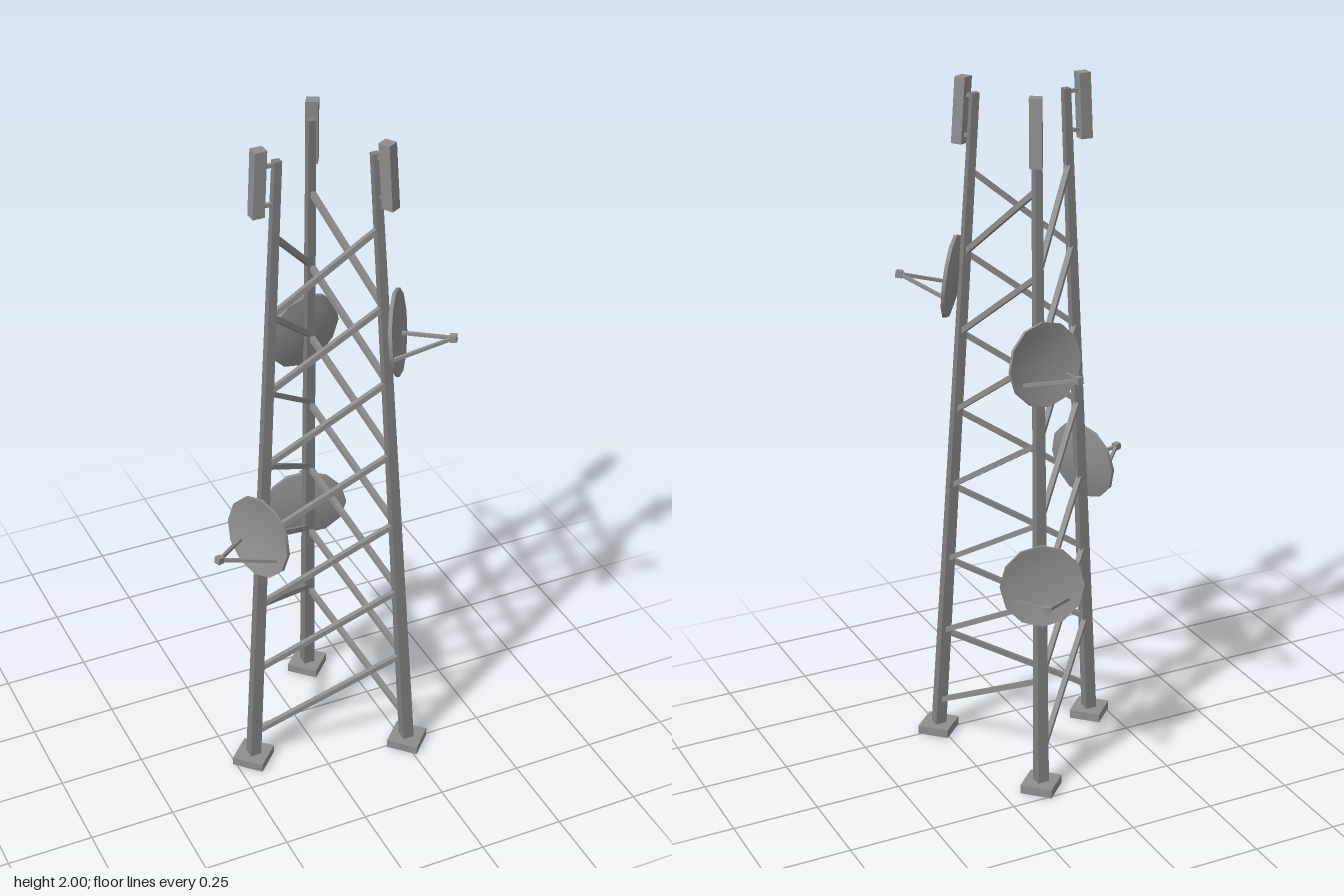
import * as THREE from 'three';
import { toCreasedNormals } from 'three/addons/utils/BufferGeometryUtils.js';

const V = (x, y, z) => new THREE.Vector3(x, y, z);

export function createModel() {
  const tower = new THREE.Group();
  tower.name = 'latticeTower';
  const steel = new THREE.MeshStandardMaterial({ color: 0x808080 });
  steel.name = 'steelGrey';
  const pale = new THREE.MeshStandardMaterial({ color: 0x8e8e8e });
  pale.name = 'paleGrey';

  const add = (parent, geometry, name, material = pale) => {
    const mesh = new THREE.Mesh(geometry, material);
    mesh.name = name;
    parent.add(mesh);
    return mesh;
  };

  // Leaning square post with level ends, from bottom p to top q
  const post = (parent, name, p, q, size0, size1, turn = 0, material = pale) => {
    const g = new THREE.BoxGeometry(1, 1, 1).rotateY(turn);
    const pos = g.attributes.position, v = V(0, 0, 0);
    for (let i = 0; i < pos.count; i++) {
      v.fromBufferAttribute(pos, i);
      const t = v.y + 0.5, s = THREE.MathUtils.lerp(size0, size1, t);
      const c = p.clone().lerp(q, t);
      pos.setXYZ(i, c.x + v.x * s, c.y, c.z + v.z * s);
    }
    g.computeVertexNormals();
    return add(parent, g, name, material);
  };

  // Straight square bar between any two points, its sides kept upright
  const bar = (parent, name, p, q, size) => {
    const mesh = add(parent, new THREE.BoxGeometry(size, size, p.distanceTo(q)), name);
    mesh.position.copy(p).lerp(q, 0.5);
    mesh.quaternion.setFromRotationMatrix(new THREE.Matrix4().lookAt(q, p, V(0, 1, 0)));
    return mesh;
  };

  // Legs in bracing order; out is the angle each antenna panel faces
  const TOP = 1.96;
  const legs = [
    { name: 'left', base: V(-0.193, 0, 0.134), top: V(-0.104, TOP, 0.125), out: Math.PI, reach: 0.052 },
    { name: 'frontRight', base: V(0.258, 0, 0.255), top: V(0.14, TOP, 0.19), out: Math.PI / 3, reach: 0.04 },
    { name: 'back', base: V(0.135, 0, -0.193), top: V(0.074, TOP, -0.054), out: -Math.PI / 3, reach: 0.04 },
  ];
  const legAt = (leg, y) => leg.base.clone().lerp(leg.top, y / TOP);

  for (const leg of legs) {
    const g = new THREE.Group();
    g.name = leg.name + 'Leg';
    tower.add(g);
    // Footing and leg
    const foot = leg.base.clone().setY(0.026);
    post(g, 'footing', leg.base, foot, 0.094, 0.094, Math.PI / 4);
    post(g, 'leg', leg.base, leg.top, 0.034, 0.021, 0, steel);
    // Antenna panel and its two brackets
    const step = V(Math.cos(leg.out), 0, Math.sin(leg.out)).multiplyScalar(leg.reach);
    const panelAt = (y) => legAt(leg, y).add(step);
    post(g, 'antennaPanel', panelAt(1.815), panelAt(2), 0.034, 0.034, -leg.out);
    for (const y of [1.84, 1.95]) bar(g, 'panelBracket', legAt(leg, y), panelAt(y), 0.01);
  }

  // Parallel diagonal bracing winding up around the three faces
  const LEVELS = 7, y0 = 0.1, dy = 0.235;
  legs.forEach((leg, i) => {
    const next = legs[(i + 1) % 3];
    for (let k = 0; k < LEVELS; k++) {
      bar(tower, 'brace', legAt(leg, y0 + k * dy), legAt(next, y0 + (k + 1) * dy), 0.015);
    }
  });

  // Shallow dish shell, opening towards +z
  const R = 0.119, profile = [];
  for (let i = 0; i <= 4; i++) profile.push(new THREE.Vector2(R * i / 4, -0.026 + 0.016 * (i / 4) ** 2));
  for (let i = 4; i >= 0; i--) profile.push(new THREE.Vector2(R * i / 4, -0.016 + 0.016 * (i / 4) ** 2));
  const dishGeometry = toCreasedNormals(new THREE.LatheGeometry(profile, 12).rotateX(Math.PI / 2), 0.65);

  // Dishes: rim centre, facing direction, supporting leg
  const dishes = [
    [V(0.204, 1.438, 0.232), V(0.81, 0, 0.58), legs[1]],
    [V(0.088, 1.275, -0.136), V(-0.17, 0, -0.985), legs[2]],
    [V(-0.186, 0.835, 0.164), V(-0.94, 0, 0.344), legs[0]],
    [V(0.126, 0.64, -0.186), V(0.354, 0, -0.935), legs[2]],
  ];
  for (const [centre, facing, leg] of dishes) {
    const g = new THREE.Group();
    g.name = 'dishAntenna';
    g.position.copy(centre);
    g.lookAt(centre.clone().add(facing).add(V(0, 0.11, 0)));
    tower.add(g);
    add(g, dishGeometry, 'dish');
    // Feed block on two struts
    const feed = V(0, -0.017, 0.143);
    add(g, new THREE.BoxGeometry(0.019, 0.019, 0.019), 'feed').position.copy(feed);
    for (const side of [-1, 1]) bar(g, 'feedStrut', V(side * 0.072, -0.044, -0.01), feed, 0.009);
    // Mount from dish back to leg
    const back = centre.clone().addScaledVector(facing, -0.03);
    bar(tower, 'dishMount', legAt(leg, centre.y), back, 0.012);
  }
  return tower;
}
